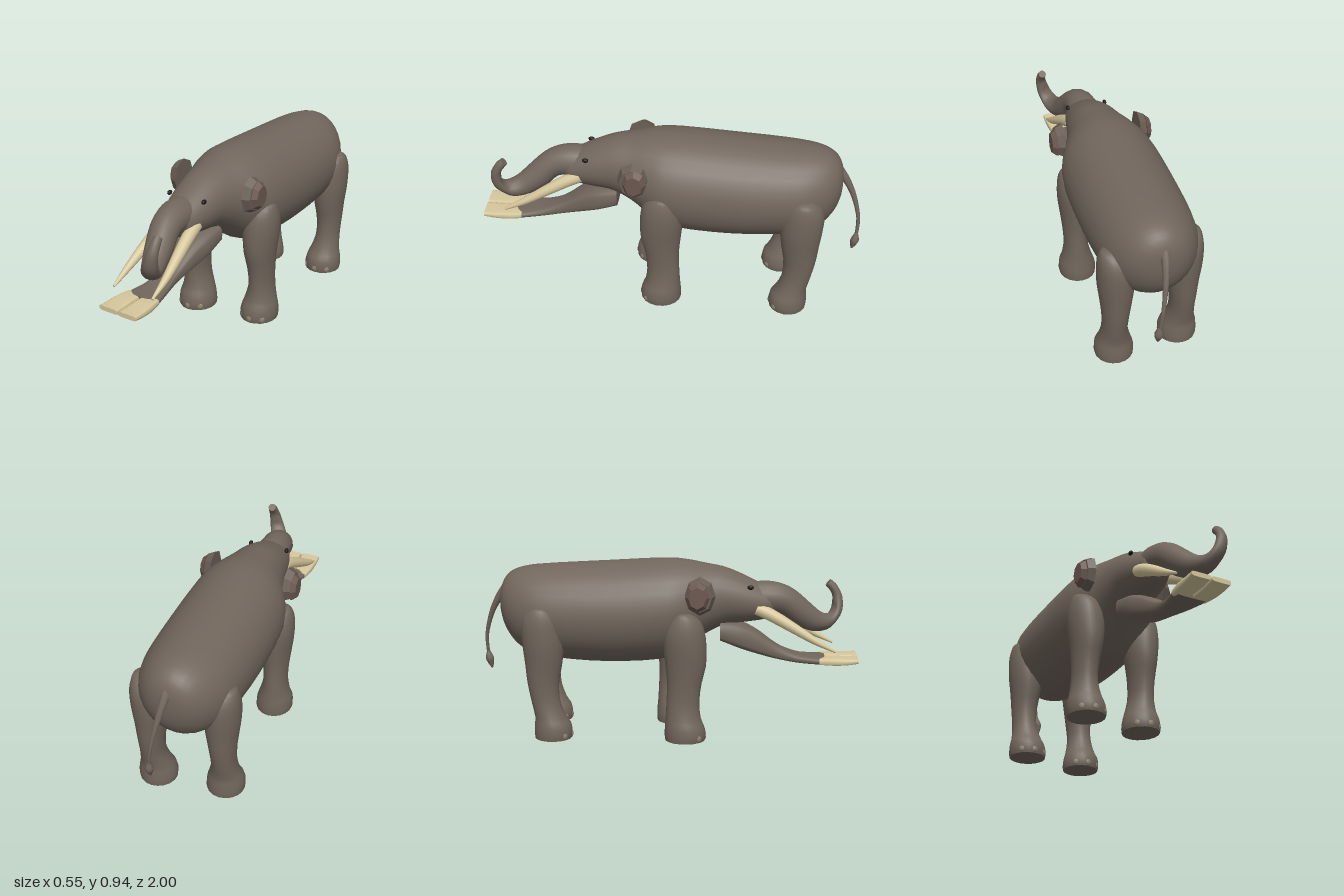
import * as THREE from 'three';

const mat = (color) => new THREE.MeshStandardMaterial({ color, roughness: 0.9 });
const hide = mat(0x71665c), ivory = mat(0xd6c79c), dark = mat(0x1c1814), nailGrey = mat(0x8c8170);
const earInner = mat(0x6c5850);
earInner.flatShading = true;
const earHide = mat(0x6a5f56);
earHide.flatShading = true;

// Catmull-Rom through rows of numbers, giving n + 1 rows
function smooth(rows, n) {
  const last = rows.length - 1, row = (i) => rows[Math.min(last, Math.max(0, i))];
  return Array.from({ length: n + 1 }, (_, k) => {
    const t = (k / n) * last, i = Math.min(last - 1, Math.floor(t)), f = t - i;
    return row(i).map((b, c) => {
      const a = row(i - 1)[c], d = row(i + 1)[c], e = row(i + 2)[c];
      return b + 0.5 * f * (d - a + f * (2 * a - 5 * b + 4 * d - e + f * (3 * (b - d) + e - a)));
    });
  });
}

// Skin over rings {c, u, v}; u x v points along the run, pow < 1 squares the section
function loft(rings, sides = 24, pow = 1) {
  const pos = [], idx = [];
  const bend = (s) => Math.sign(s) * Math.pow(Math.abs(s), pow);
  const addRing = ({ c, u, v }) => {
    for (let i = 0; i < sides; i++) {
      const a = (i / sides) * Math.PI * 2;
      const p = c.clone().addScaledVector(u, bend(Math.cos(a))).addScaledVector(v, bend(Math.sin(a)));
      pos.push(p.x, p.y, p.z);
    }
  };
  rings.forEach(addRing);
  for (let k = 0; k < rings.length - 1; k++) {
    for (let i = 0; i < sides; i++) {
      const a = k * sides + i, b = k * sides + (i + 1) % sides;
      idx.push(a, b, a + sides, b, b + sides, a + sides);
    }
  }
  // End caps with their own vertices stay sharp
  [rings[0], rings[rings.length - 1]].forEach((ring, end) => {
    const base = pos.length / 3;
    addRing(ring);
    pos.push(ring.c.x, ring.c.y, ring.c.z);
    for (let i = 0; i < sides; i++) {
      const a = base + i, b = base + (i + 1) % sides;
      idx.push(base + sides, end ? a : b, end ? b : a);
    }
  });
  const g = new THREE.BufferGeometry();
  g.setAttribute('position', new THREE.Float32BufferAttribute(pos, 3));
  g.setIndex(idx);
  g.computeVertexNormals();
  return g;
}

const V = (x, y, z) => new THREE.Vector3(x, y, z);
// Rows of [z, top, bottom, half width, centre x]
const alongZ = (rows) => rows.map(([z, top, bottom, w, x = 0]) => ({
  c: V(x, (top + bottom) / 2, z), u: V(w, 0, 0), v: V(0, (top - bottom) / 2, 0) }));
// Rows of [y, back z, front z, inner x, outer x]
const alongY = (rows) => rows.map(([y, z0, z1, x0, x1]) => ({
  c: V((x0 + x1) / 2, y, (z0 + z1) / 2), u: V(0, 0, (z1 - z0) / 2), v: V((x1 - x0) / 2, 0, 0) }));

// Tapering tube through rows of [x, y, z, radius]
function taper(rows, n, sides) {
  const pts = smooth(rows, n);
  const curve = new THREE.CatmullRomCurve3(pts.map((p) => V(p[0], p[1], p[2])));
  const f = curve.computeFrenetFrames(n);
  return loft(pts.map((p, i) => ({
    c: V(p[0], p[1], p[2]),
    u: f.normals[i].clone().multiplyScalar(p[3]),
    v: f.binormals[i].clone().multiplyScalar(p[3]) })), sides);
}

export function createModel() {
  const model = new THREE.Group();
  const add = (name, geo, material, parent = model) => {
    const m = new THREE.Mesh(geo, material);
    m.name = name;
    parent.add(m);
    return m;
  };

  // Body and head in one skin
  add('bodyAndHead', loft(alongZ(smooth([
    [-0.888, 0.72, 0.70, 0.01], [-0.878, 0.79, 0.61, 0.08], [-0.84, 0.85, 0.52, 0.145],
    [-0.76, 0.885, 0.44, 0.205], [-0.62, 0.9, 0.4, 0.248], [-0.32, 0.918, 0.38, 0.264],
    [-0.02, 0.935, 0.4, 0.258], [0.1, 0.928, 0.46, 0.225], [0.2, 0.91, 0.535, 0.178],
    [0.3, 0.89, 0.585, 0.146], [0.4, 0.85, 0.6, 0.126], [0.5, 0.8, 0.615, 0.1],
    [0.55, 0.775, 0.635, 0.075], [0.58, 0.72, 0.68, 0.02]], 44)), 28), hide);

  // Trunk curling up to the left
  add('trunk', taper([
    [0, 0.725, 0.42, 0.085], [0, 0.735, 0.53, 0.085], [0.008, 0.715, 0.62, 0.077],
    [0.03, 0.645, 0.705, 0.07], [0.055, 0.595, 0.78, 0.06], [0.09, 0.59, 0.85, 0.05],
    [0.122, 0.645, 0.895, 0.039], [0.139, 0.715, 0.9, 0.03], [0.142, 0.765, 0.875, 0.025],
    [0.14, 0.79, 0.85, 0.021]], 36, 16), hide);

  // Long shovel-shaped lower jaw
  add('lowerJaw', loft(alongZ(smooth([
    [0.28, 0.615, 0.505, 0.105], [0.38, 0.597, 0.465, 0.1], [0.47, 0.555, 0.435, 0.08],
    [0.58, 0.478, 0.405, 0.058], [0.68, 0.437, 0.39, 0.066], [0.76, 0.427, 0.386, 0.083],
    [0.83, 0.424, 0.386, 0.098]], 24)), 20, 0.6), hide);

  // Tail with a tuft
  const tail = new THREE.Group();
  tail.name = 'tail';
  model.add(tail);
  add('tailStem', taper([
    [0, 0.77, -0.86, 0.026], [0.008, 0.71, -0.905, 0.02], [0.022, 0.62, -0.95, 0.014],
    [0.042, 0.5, -0.982, 0.01], [0.055, 0.39, -0.98, 0.009]], 16, 8), hide, tail);
  add('tailTuft', taper([
    [0.055, 0.41, -0.981, 0.008], [0.057, 0.37, -0.976, 0.022], [0.058, 0.345, -0.971, 0.018],
    [0.058, 0.312, -0.963, 0.005]], 8, 8), hide, tail);

  // Leg profiles: [y, back z, front z, inner x, outer x]
  const legs = {
    frontLeg: { stride: 0.065, rows: [
      [0, -0.068, 0.143, 0.08, 0.275], [0.03, -0.07, 0.147, 0.077, 0.279], [0.075, -0.068, 0.138, 0.085, 0.275],
      [0.12, -0.064, 0.12, 0.1, 0.262], [0.2, -0.06, 0.112, 0.12, 0.25], [0.3, -0.057, 0.122, 0.115, 0.253],
      [0.4, -0.066, 0.145, 0.1, 0.263], [0.5, -0.076, 0.147, 0.09, 0.275], [0.58, -0.074, 0.138, 0.1, 0.276],
      [0.64, -0.05, 0.115, 0.12, 0.266], [0.675, -0.01, 0.07, 0.15, 0.25], [0.682, 0.02, 0.035, 0.19, 0.21]] },
    hindLeg: { stride: 0.05, rows: [
      [0, -0.742, -0.546, 0.08, 0.275], [0.03, -0.744, -0.542, 0.077, 0.279], [0.075, -0.742, -0.55, 0.085, 0.275],
      [0.12, -0.74, -0.578, 0.1, 0.262], [0.2, -0.757, -0.604, 0.12, 0.25], [0.3, -0.776, -0.608, 0.115, 0.253],
      [0.4, -0.786, -0.59, 0.1, 0.263], [0.5, -0.797, -0.58, 0.09, 0.275], [0.6, -0.8, -0.588, 0.1, 0.276],
      [0.66, -0.78, -0.61, 0.12, 0.268], [0.695, -0.74, -0.65, 0.15, 0.252], [0.702, -0.71, -0.69, 0.19, 0.21]] },
  };

  for (const side of [1, -1]) {
    const label = side > 0 ? 'left' : 'right';
    const mirrorX = (rows) => rows.map(([x, ...rest]) => [side * x, ...rest]);

    // Legs; the right pair steps forward
    for (const [name, { stride, rows }] of Object.entries(legs)) {
      const dz = side > 0 ? 0 : stride;
      const leg = new THREE.Group();
      leg.name = `${label} ${name}`;
      model.add(leg);
      const placed = rows.map(([y, z0, z1, a, b]) =>
        [y, z0 + dz, z1 + dz, side > 0 ? a : -b, side > 0 ? b : -a]);
      add('limb', loft(alongY(smooth(placed, 26)), 18), hide, leg);
      // Toenails around the front of the foot
      const [, z0, z1, x0, x1] = placed[1];
      for (const a of [-0.75, 0, 0.75]) {
        const nail = add('toenail', new THREE.SphereGeometry(0.016, 10, 6), nailGrey, leg);
        nail.scale.set(1, 1.1, 0.4);
        nail.rotation.y = a;
        nail.position.set((x0 + x1) / 2 + Math.sin(a) * 0.097, 0.022,
          (z0 + z1) / 2 + Math.cos(a) * (z1 - z0) * 0.482);
      }
    }

    // Small faceted ear with a browner inner face
    const ear = new THREE.Group();
    ear.name = `${label} ear`;
    ear.position.set(side * 0.205, 0.77, 0.178);
    ear.rotation.z = -side * Math.PI / 2;
    model.add(ear);
    const rim = add('earRim', new THREE.CylinderGeometry(0.078, 0.1, 0.04, 8), earHide, ear);
    rim.scale.z = 0.8;
    rim.position.y = 0.02;
    const lobe = add('earInner', new THREE.CylinderGeometry(0.056, 0.08, 0.026, 8), earInner, ear);
    lobe.scale.z = 0.8;
    lobe.position.set(0, 0.052, -0.012);

    // Eye
    const eye = add(`${label} eye`, new THREE.SphereGeometry(0.015, 12, 8), dark);
    eye.scale.set(0.7, 0.8, 1.1);
    eye.position.set(side * 0.104, 0.8, 0.435);

    // Upper tusk
    add(`${label} upperTusk`, taper(mirrorX([
      [0.078, 0.685, 0.47, 0.034], [0.086, 0.655, 0.54, 0.033], [0.1, 0.595, 0.65, 0.028],
      [0.113, 0.525, 0.77, 0.019], [0.116, 0.468, 0.88, 0.006]]), 18, 12), ivory);

    // Flat lower tusk forming half of the shovel edge
    add(`${label} lowerTusk`, loft(alongZ(smooth([
      [0.8, 0.422, 0.39, 0.045, side * 0.05], [0.87, 0.426, 0.388, 0.051, side * 0.055],
      [0.94, 0.425, 0.392, 0.053, side * 0.056], [1, 0.427, 0.402, 0.053, side * 0.056]], 8)), 16, 0.4), ivory);
  }
  return model;
}
